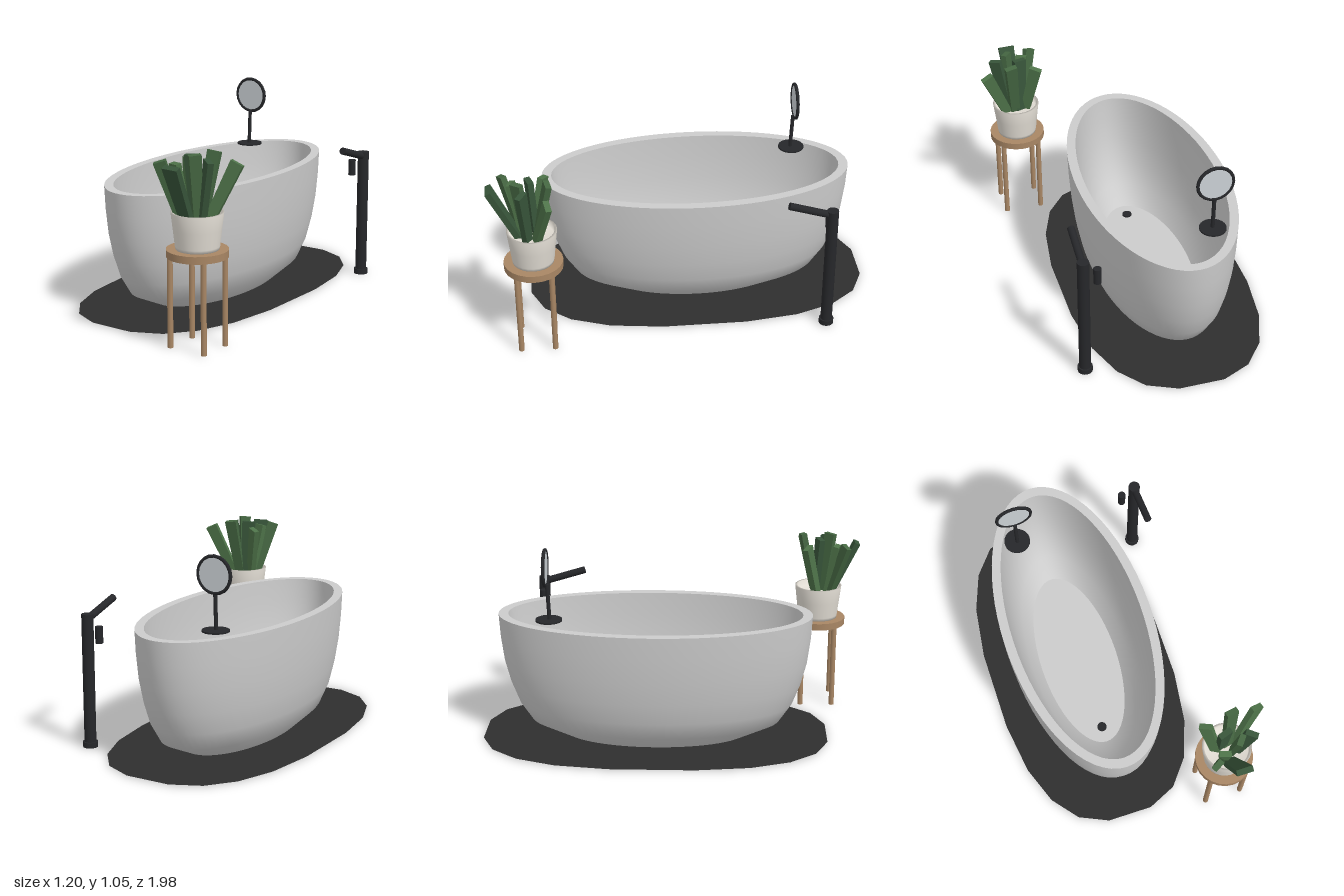
import * as THREE from 'three';

const mat = (color, extra = {}) => new THREE.MeshStandardMaterial({ color, ...extra });
const v = (x, y, z) => new THREE.Vector3(x, y, z);

function add(parent, name, geometry, material, x = 0, y = 0, z = 0) {
  const mesh = new THREE.Mesh(geometry, material);
  mesh.name = name;
  mesh.position.set(x, y, z);
  parent.add(mesh);
  return mesh;
}

// Smooth band through elliptical rings given as [halfWidth, halfLength, y]
function loft(rings, sides = 64) {
  const pos = [], idx = [];
  rings.forEach(([a, b, y], j) => {
    for (let i = 0; i < sides; i++) {
      const t = (i / sides) * Math.PI * 2;
      pos.push(a * Math.cos(t), y, b * Math.sin(t));
      if (j === rings.length - 1) continue;
      const p = j * sides + i, q = j * sides + ((i + 1) % sides);
      idx.push(p, p + sides, q + sides, p, q + sides, q);
    }
  });
  const g = new THREE.BufferGeometry();
  g.setAttribute('position', new THREE.Float32BufferAttribute(pos, 3));
  g.setIndex(idx);
  g.computeVertexNormals();
  return g;
}

// Cylinder running between two points
function rod(parent, name, from, to, radius, material, sides = 16) {
  const dir = to.clone().sub(from);
  const m = add(parent, name, new THREE.CylinderGeometry(radius, radius, dir.length(), sides), material);
  m.position.copy(from).addScaledVector(dir, 0.5);
  m.quaternion.setFromUnitVectors(v(0, 1, 0), dir.normalize());
  return m;
}

function makeTub(grey, black) {
  const tub = new THREE.Group();
  tub.name = 'bathtub';
  const base = [0.213, 0.468, 0], rim = [0.39, 0.81, 0.66];
  const lip = [0.342, 0.76, 0.66], floor = [0.21, 0.5, 0.1];
  const bands = {
    tubBase: [[0.001, 0.001, 0], base],
    tubOuterWall: [base, [0.303, 0.652, 0.085], [0.34, 0.715, 0.18], [0.362, 0.757, 0.29],
      [0.377, 0.787, 0.41], [0.386, 0.803, 0.54], rim],
    tubRim: [rim, lip],
    tubInnerWall: [lip, [0.336, 0.748, 0.54], [0.322, 0.722, 0.41], [0.3, 0.68, 0.29],
      [0.262, 0.61, 0.18], floor],
    tubFloor: [floor, [0.001, 0.001, 0.1]],
  };
  for (const [name, rings] of Object.entries(bands)) add(tub, name, loft(rings), grey);
  add(tub, 'drain', new THREE.CylinderGeometry(0.025, 0.025, 0.012, 16), black, 0, 0.104, 0.415);
  tub.position.set(-0.11, 0, -0.1);
  return tub;
}

// Flat rug with a rounded, faceted outline
function makeRug() {
  const power = (c) => Math.sign(c) * Math.abs(c) ** 0.77;
  const pts = [];
  for (let i = 0; i < 20; i++) {
    const t = ((i + 0.5) / 20) * Math.PI * 2;
    pts.push(new THREE.Vector2(0.495 * power(Math.cos(t)), 0.907 * power(Math.sin(t))));
  }
  const g = new THREE.ShapeGeometry(new THREE.Shape(pts)).rotateX(-Math.PI / 2);
  const rug = new THREE.Mesh(g, mat(0x2e2e2e, { side: THREE.DoubleSide }));
  rug.name = 'rug';
  rug.position.set(-0.11, 0.003, -0.1);
  return rug;
}

function makeMirror(black) {
  const g = new THREE.Group();
  g.name = 'mirror';
  add(g, 'mirrorBase', new THREE.CylinderGeometry(0.068, 0.068, 0.008, 24), black, 0, 0.673, 0);
  rod(g, 'mirrorStem', v(0, 0.675, 0.004), v(0, 0.86, -0.004), 0.01, black, 10);
  add(g, 'mirrorFrame', new THREE.TorusGeometry(0.09, 0.009, 8, 20), black, 0, 0.947, -0.012);
  const glass = new THREE.CylinderGeometry(0.09, 0.09, 0.008, 20).rotateX(Math.PI / 2);
  add(g, 'mirrorGlass', glass, mat(0xccd2d6), 0, 0.947, -0.012);
  g.position.set(-0.268, 0, -0.633);
  return g;
}

function makeTap(black) {
  const g = new THREE.Group();
  g.name = 'floorTap';
  add(g, 'tapFoot', new THREE.CylinderGeometry(0.038, 0.038, 0.028, 20), black, 0, 0.014, 0);
  rod(g, 'tapColumn', v(0, 0, 0), v(0, 0.69, 0), 0.03, black, 20);
  rod(g, 'tapSpout', v(0, 0.663, 0), v(0, 0.73, 0.222), 0.019, black);
  rod(g, 'tapHandle', v(-0.07, 0.55, 0), v(-0.07, 0.635, 0), 0.02, black);
  g.position.set(0.417, 0, -0.733);
  return g;
}

function makeStool() {
  const g = new THREE.Group();
  g.name = 'stool';
  const wood = mat(0xa88664);
  add(g, 'stoolSeat', new THREE.CylinderGeometry(0.149, 0.149, 0.036, 24), wood, 0, 0.466, 0);
  for (const sx of [-1, 1]) for (const sz of [-1, 1])
    rod(g, 'stoolLeg', v(sx * 0.098, 0, sz * 0.086), v(sx * 0.098, 0.455, sz * 0.086), 0.014, wood, 12);
  g.position.set(0.4, 0, 0.768);
  return g;
}

function makePlant() {
  const g = new THREE.Group();
  g.name = 'pottedPlant';
  const profile = [[0, 0.484], [0.104, 0.484], [0.107, 0.5], [0.116, 0.58], [0.126, 0.662],
    [0.114, 0.662], [0.11, 0.63], [0, 0.63]].map(([r, y]) => new THREE.Vector2(r, y));
  add(g, 'pot', new THREE.LatheGeometry(profile, 24), mat(0xe2ddd4, { side: THREE.DoubleSide }));
  // Thick blades: root x, z, then tip x, y, z, then width and twist
  const blades = [
    [-0.01, 0.06, 0, 0.905, 0.2, 0.085, 0], [-0.05, 0.05, -0.115, 0.91, 0.135, 0.06, 0.5],
    [-0.05, -0.01, -0.105, 0.9, -0.07, 0.065, -0.5], [-0.02, -0.02, -0.03, 0.93, 0.0, 0.07, 0.3],
    [0.01, -0.02, 0.035, 0.94, -0.09, 0.065, 0.2], [0.05, -0.02, 0.168, 0.9, -0.085, 0.065, 0.25],
    [0.04, 0.02, 0.095, 0.92, 0.04, 0.065, -0.6], [0.02, 0.02, 0.03, 0.945, 0.06, 0.06, 0.9],
    [-0.03, 0.04, -0.06, 0.9, 0.09, 0.06, -0.3],
  ];
  const greens = [0x38553a, 0x456742, 0x4e7349].map((c) => mat(c, { flatShading: true }));
  blades.forEach(([x, z, tx, ty, tz, w, twist], i) => {
    const from = v(x, 0.615, z), dir = v(tx, ty, tz).sub(from), len = dir.length();
    const geo = new THREE.BoxGeometry(w, len, 0.03);
    const p = geo.attributes.position;
    for (let k = 0; k < p.count; k++) if (p.getY(k) < 0) p.setX(k, p.getX(k) * 0.75);
    geo.rotateY(twist);
    const leaf = add(g, 'leaf', geo, greens[i % 3]);
    leaf.position.copy(from).addScaledVector(dir, 0.5);
    leaf.quaternion.setFromUnitVectors(v(0, 1, 0), dir.normalize());
  });
  g.position.set(0.4, 0, 0.768);
  return g;
}

export function createModel() {
  const model = new THREE.Group();
  model.name = 'bathroomSet';
  const grey = mat(0xcccccc), black = mat(0x26272a);
  model.add(makeTub(grey, black), makeRug(), makeMirror(black), makeTap(black), makeStool(), makePlant());
  return model;
}
